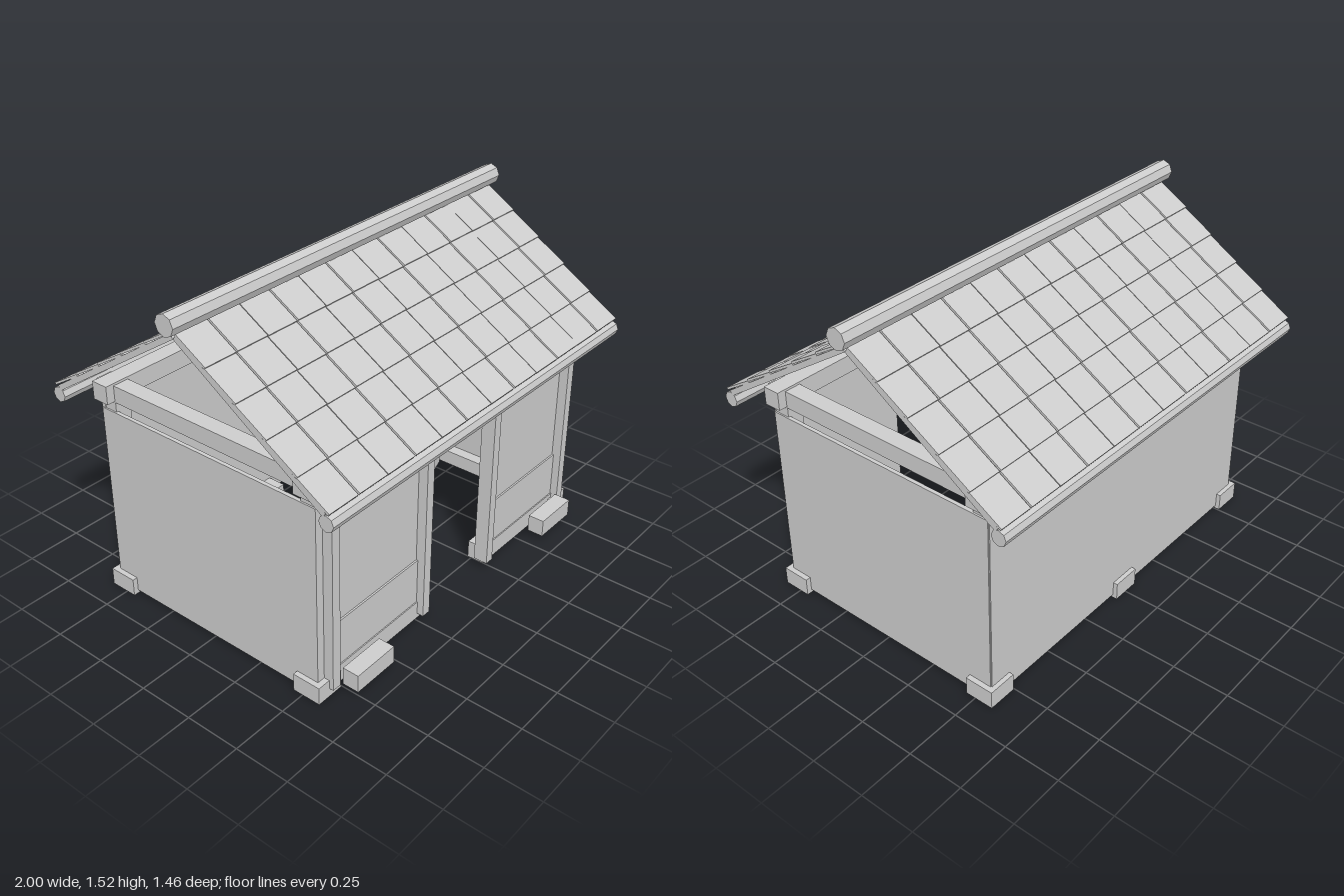
import * as THREE from 'three';

const plain = new THREE.MeshStandardMaterial({ color: 0xcccccc, flatShading: true });
plain.name = 'plainGrey';

export function createModel() {
  const model = new THREE.Group();
  model.name = 'storeHouse';

  const add = (name, geometry, parent = model) => {
    const mesh = new THREE.Mesh(geometry, plain);
    mesh.name = name;
    parent.add(mesh);
    return mesh;
  };
  // Box given by its limits on each axis
  const block = (name, x0, x1, y0, y1, z0, z1, parent = model) => {
    const mesh = add(name, new THREE.BoxGeometry(x1 - x0, y1 - y0, z1 - z0), parent);
    mesh.position.set((x0 + x1) / 2, (y0 + y1) / 2, (z0 + z1) / 2);
    return mesh;
  };
  // The same box on the left and right of the model
  const pair = (name, x0, x1, ...rest) => {
    block(name, x0, x1, ...rest);
    block(name, -x1, -x0, ...rest);
  };
  // Eight-sided pole lying along x
  const pole = (name, radius, length, y, z, parent = model) => {
    const geometry = new THREE.CylinderGeometry(radius, radius, length, 8).rotateZ(Math.PI / 2);
    add(name, geometry, parent).position.set(0, y, z);
  };

  // Foundation stones and corner posts
  for (const s of [-1, 1]) {
    const z0 = s > 0 ? 0.455 : -0.585, z1 = z0 + 0.13;
    pair('footStone', 0.755, 0.885, 0, 0.08, z0, z1);
    pair('cornerPost', 0.78, 0.855, 0.04, 0.95, s > 0 ? 0.485 : -0.56, s > 0 ? 0.56 : -0.485);
    block('longBeam', -0.895, 0.895, 0.93, 1.01, s > 0 ? 0.485 : -0.565, s > 0 ? 0.565 : -0.485);
  }
  block('backFootStone', -0.068, 0.065, 0, 0.08, -0.585, -0.455);

  // Cross beams resting on the posts
  for (const x of [-0.82, 0, 0.82]) {
    block('crossBeam', x - 0.037, x + 0.037, 0.925, 1.0, -0.585, 0.585);
  }

  // Side and back walls with their sills
  pair('sideWall', 0.845, 0.862, 0.015, 0.88, -0.56, 0.56);
  pair('sideSill', 0.79, 0.85, 0.02, 0.09, -0.55, 0.55);
  block('backWall', -0.858, 0.858, 0.015, 0.95, -0.565, -0.545);

  // Front wall panels, sills and frames
  pair('frontUpperPanel', 0.25, 0.79, 0.31, 0.95, 0.54, 0.562);
  pair('frontLowerPanel', 0.25, 0.79, 0.1, 0.31, 0.54, 0.57);
  pair('frontSill', 0.228, 0.79, 0.018, 0.1, 0.495, 0.575);
  pair('frontFramePost', 0.782, 0.825, 0.04, 0.97, 0.56, 0.605);
  pair('doorPost', 0.21, 0.253, 0.04, 0.9, 0.54, 0.605);
  block('doorLintel', -0.25, 0.25, 0.865, 0.95, 0.54, 0.6);
  block('doorHeader', -0.278, 0.278, 0.868, 0.94, 0.585, 0.613);
  pair('frontStep', 0.545, 0.767, 0.035, 0.115, 0.605, 0.68);

  // Door folded inwards, with two rails
  const door = new THREE.Group();
  door.name = 'openDoor';
  model.add(door);
  block('doorInnerLeaf', -0.232, -0.216, 0.04, 0.865, 0.28, 0.54, door);
  block('doorOuterLeaf', -0.216, -0.21, 0.04, 0.865, 0.41, 0.54, door);
  for (const y of [0.21, 0.64]) {
    block('doorRail', -0.215, -0.198, y - 0.011, y + 0.011, 0.28, 0.56, door);
  }

  // Storage jars against the back of the room
  const jarProfile = [[0, 0], [0.63, 0], [1, 0.25], [1, 0.58], [0.66, 0.85], [0.55, 0.92], [0.66, 1], [0, 1]];
  const jar = (name, x, z, radius, height) => {
    const points = jarProfile.map(([r, h]) => new THREE.Vector2(r * radius, h * height));
    add(name, new THREE.LatheGeometry(points, 10)).position.set(x, 0.02, z);
  };
  for (const s of [-1, 1]) {
    jar('largeJar', s * 0.56, -0.09, 0.15, 0.4);
    jar('smallJar', s * 0.58, -0.35, 0.115, 0.32);
  }

  // Two tiled roof slopes
  const pitch = Math.atan(0.657);
  const tileLength = 0.139 / Math.cos(pitch);
  const tileGeometry = new THREE.BoxGeometry(0.155, 0.01, tileLength);
  for (const turn of [0, Math.PI]) {
    const side = new THREE.Group();
    side.name = turn ? 'backRoof' : 'frontRoof';
    side.rotation.y = turn;
    model.add(side);
    pole('eavePole', 0.034, 1.924, 0.932, 0.695, side);

    const slope = new THREE.Group();
    slope.name = 'roofSlope';
    slope.position.y = 1.402;
    slope.rotation.x = pitch;
    side.add(slope);
    block('roofBoard', -0.962, 0.962, 0, 0.024, 0, 0.815, slope);
    for (let row = 0; row < 5; row++) {
      for (let col = 0; col < 12; col++) {
        const tile = add('roofTile', tileGeometry, slope);
        const lift = col % 2 ? 0.003 : 0;
        tile.position.set((col - 5.5) * 0.161, 0.028 + lift, 0.162 + (row - 0.5) * tileLength);
        tile.rotation.x = -0.04;
      }
    }
  }
  pole('ridgePole', 0.046, 2, 1.47, 0);

  return model;
}
